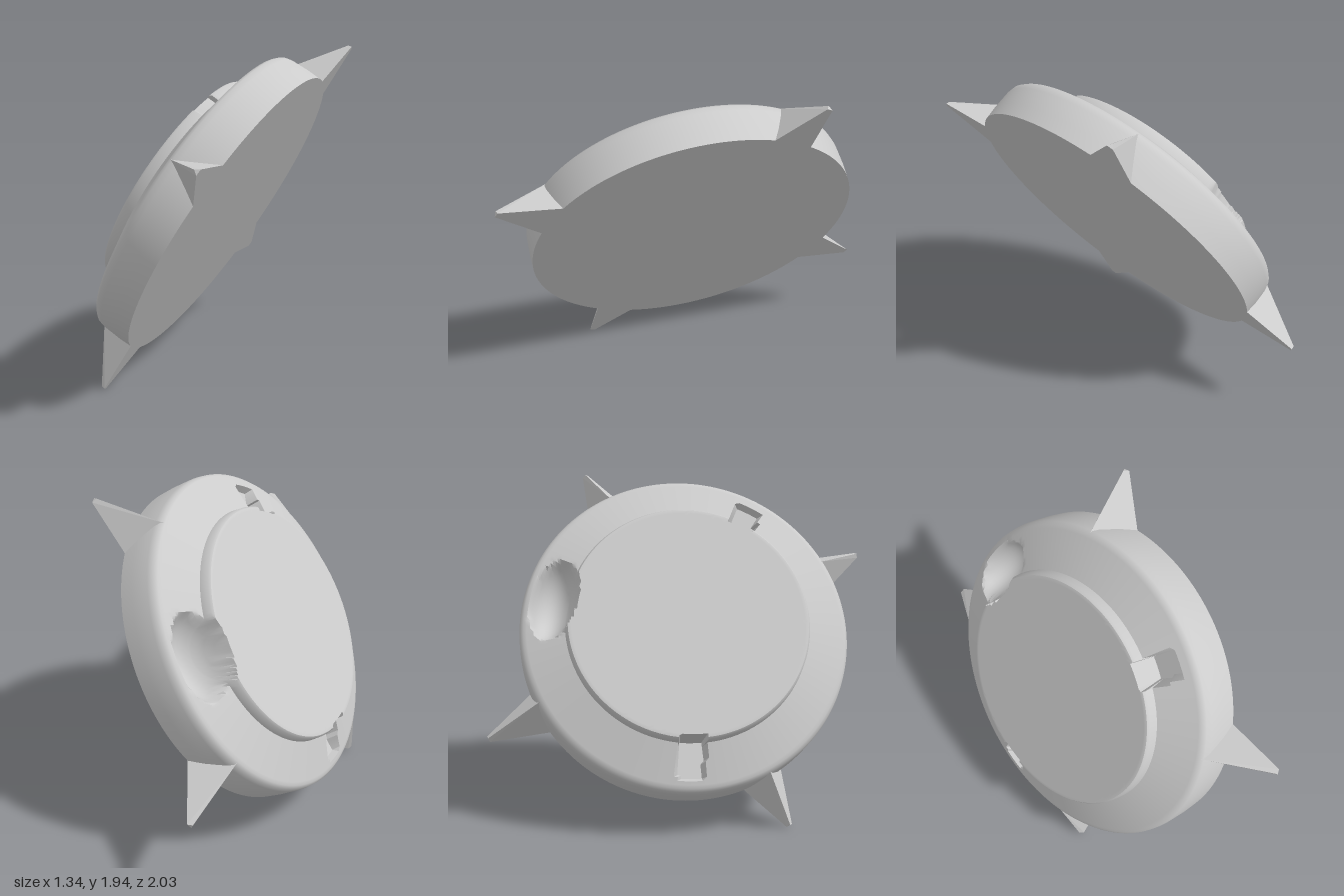
import * as THREE from 'three';
import { toCreasedNormals } from 'three/addons/utils/BufferGeometryUtils.js';
import { ConvexGeometry } from 'three/addons/geometries/ConvexGeometry.js';

const material = new THREE.MeshStandardMaterial({ color: 0xcccccc });
const rad = THREE.MathUtils.degToRad;

// Recesses in the sloping ring: two small slots and one large bowl
const slots = [
  { angle: rad(56), inner: 0.66, outer: 0.86, half: 0.075, floor: 0.22 },
  { angle: rad(208), inner: 0.66, outer: 0.88, half: 0.075, floor: 0.22 },
];
const bowl = { angle: rad(-51), radius: 0.78, halfWidth: 0.26, halfDepth: 0.14, depth: 0.24 };

// Height of the upper surface after cutting the recesses
function cutHeight(r, phi, h) {
  for (const s of slots) {
    const along = r * Math.cos(phi - s.angle), across = r * Math.sin(phi - s.angle);
    if (along > s.inner && along < s.outer && Math.abs(across) < s.half) h = Math.min(h, s.floor);
  }
  const along = r * Math.cos(phi - bowl.angle) - bowl.radius;
  const across = r * Math.sin(phi - bowl.angle);
  const d = (along / bowl.halfDepth) ** 2 + (across / bowl.halfWidth) ** 2;
  if (d < 1) h = Math.min(h, 0.36 - bowl.depth * Math.pow(1 - d, 0.5));
  return h;
}

// Round body: rings of [radius, height] from the top centre to the base centre
function bodyGeometry() {
  const rings = [[0, 0.39], [0.4, 0.39], [0.6, 0.39], [0.63, 0.39], [0.645, 0.39],
    [0.66, 0.39], [0.67, 0.39], [0.68, 0.388], [0.69, 0.375], [0.695, 0.325]];
  for (let i = 1; i <= 12; i++) rings.push([0.695 + 0.0195 * i, 0.325 - 0.0068 * i]);
  rings.push([0.945, 0.225], [0.952, 0.19], [0.954, 0.08], [0.95, 0], [0, 0]);
  const segments = 240, positions = [], indices = [];
  rings.forEach(([r, h]) => {
    for (let j = 0; j < segments; j++) {
      const phi = (j / segments) * Math.PI * 2;
      const y = h > 0.24 ? cutHeight(r, phi, h) : h;
      positions.push(r * Math.cos(phi), y, r * Math.sin(phi));
    }
  });
  for (let i = 0; i < rings.length - 1; i++) {
    for (let j = 0; j < segments; j++) {
      const k = (j + 1) % segments;
      const a = i * segments + j, b = i * segments + k;
      const c = b + segments, d = a + segments;
      if (i > 0) indices.push(a, b, c);
      if (i < rings.length - 2) indices.push(a, c, d);
      else indices.pop(), indices.pop(), indices.pop(), indices.push(a, b, d);
    }
  }
  const geometry = new THREE.BufferGeometry();
  geometry.setAttribute('position', new THREE.Float32BufferAttribute(positions, 3));
  geometry.setIndex(indices);
  return toCreasedNormals(geometry, rad(40));
}

// Ridged spike pointing along +x, rooted inside the body
function spikeGeometry(length) {
  const sections = [[0.72, 0.2, 0.305], [0.93, 0.13, 0.24], [length, 0.018, 0.025]];
  const points = [];
  for (const [x, w, h] of sections) {
    points.push(new THREE.Vector3(x, 0, -w), new THREE.Vector3(x, 0, w), new THREE.Vector3(x, h, 0));
  }
  return new ConvexGeometry(points);
}

export function createModel() {
  const model = new THREE.Group();
  model.name = 'spikedDisc';

  // Tilted frame: disc axis is local y
  const disc = new THREE.Group();
  disc.name = 'tiltedDisc';
  const u = new THREE.Vector3(0.307, 0.775, -0.553).normalize();
  const n = new THREE.Vector3(-0.822, 0.509, 0.257).normalize();
  const v = new THREE.Vector3().crossVectors(u, n).normalize();
  n.crossVectors(v, u);
  disc.quaternion.setFromRotationMatrix(new THREE.Matrix4().makeBasis(u, n, v));
  disc.position.set(0.06, 0.975, 0.01);
  model.add(disc);

  const body = new THREE.Mesh(bodyGeometry(), material);
  body.name = 'body';
  disc.add(body);

  // Four spikes around the rim
  for (let i = 0; i < 4; i++) {
    const spike = new THREE.Mesh(spikeGeometry(i % 2 ? 1.265 : 1.24), material);
    spike.name = 'spike' + (i + 1);
    spike.rotation.y = -i * Math.PI / 2;
    disc.add(spike);
  }
  return model;
}
